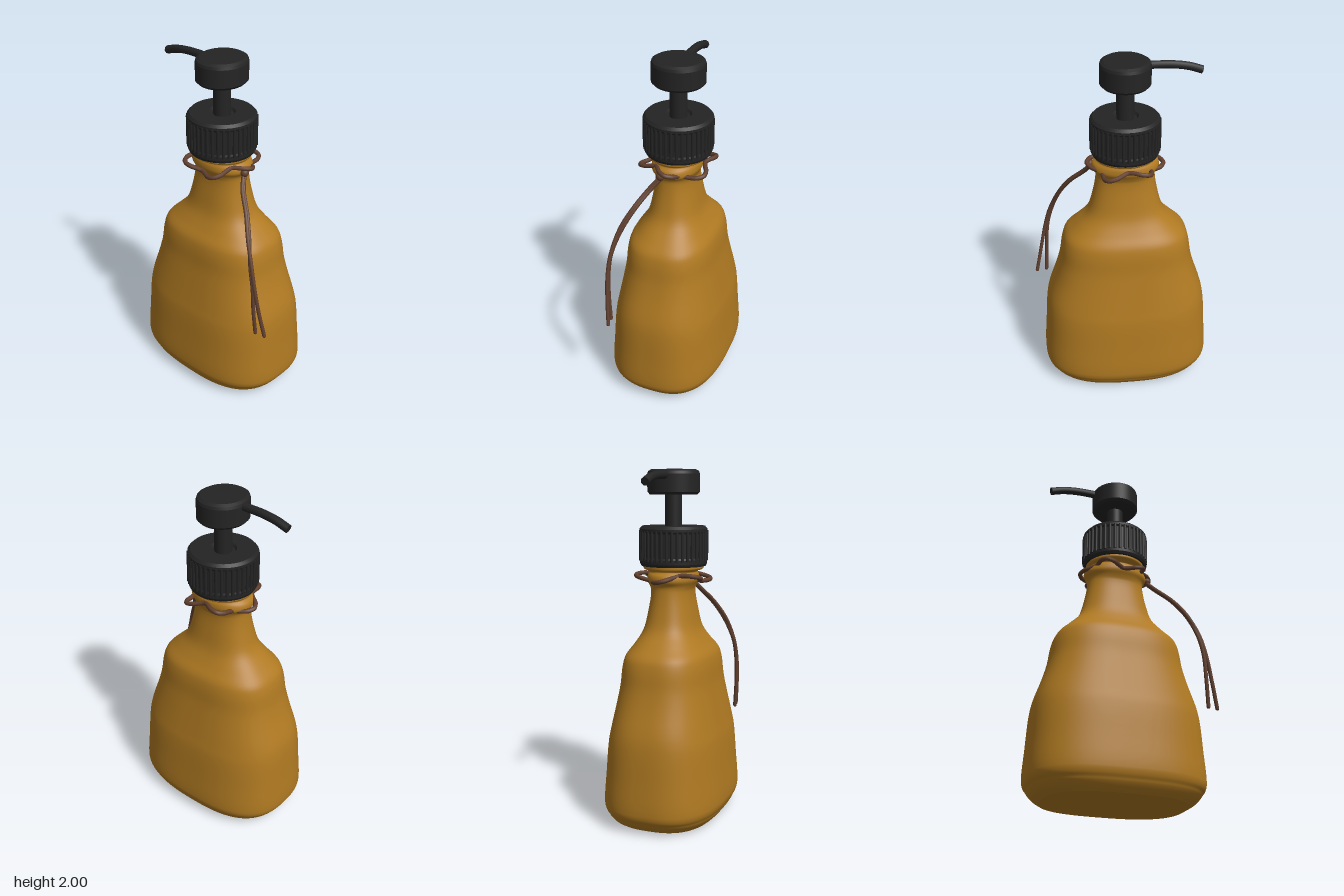
import * as THREE from 'three';
import { mergeVertices, mergeGeometries } from 'three/addons/utils/BufferGeometryUtils.js';

const V = (x, y, z) => new THREE.Vector3(x, y, z);
const CX = -0.02; // axis of the bottle

// Bottle sections: [height, half width, half depth, corner squareness]
const SECTIONS = [
  [0, 0.405, 0.28, 2.7], [0.025, 0.445, 0.305, 2.7], [0.05, 0.468, 0.322, 2.7], [0.065, 0.478, 0.328, 2.7],
  [0.085, 0.492, 0.338, 2.7], [0.12, 0.5, 0.345, 2.7], [0.3, 0.49, 0.333, 2.7], [0.48, 0.477, 0.318, 2.7],
  [0.56, 0.462, 0.303, 2.7], [0.7, 0.415, 0.277, 2.7], [0.8, 0.388, 0.26, 2.7], [0.9, 0.372, 0.25, 2.7],
  [0.96, 0.352, 0.235, 2.7], [1.02, 0.295, 0.195, 2.6], [1.1, 0.222, 0.152, 2.5], [1.2, 0.189, 0.13, 2.4],
  [1.32, 0.168, 0.115, 2.3], [1.35, 0.17, 0.125, 2.2], [1.38, 0.19, 0.14, 2.1], [1.41, 0.186, 0.14, 2],
  [1.43, 0.165, 0.135, 2], [1.445, 0.175, 0.17, 2], [1.47, 0.175, 0.17, 2],
];

// Puts a unit-circle direction onto a rounded-rectangle section
function onSection(sx, sz, w, d, n) {
  const k = Math.pow(Math.pow(Math.abs(sx), n) + Math.pow(Math.abs(sz), n), -1 / n);
  return [sx * k * w, sz * k * d];
}

function bottleGeometry() {
  const sizes = new THREE.CatmullRomCurve3(SECTIONS.map(([y, w, d]) => V(w, y, d)), false, 'centripetal');
  const rows = (SECTIONS.length - 1) * 4;
  const unit = Array.from({ length: rows + 1 }, (_, i) => new THREE.Vector2(1, i));
  const g = new THREE.LatheGeometry(unit, 96);
  const p = g.attributes.position;
  for (let i = 0; i < p.count; i++) {
    const t = p.getY(i) / rows;
    const s = sizes.getPoint(t);
    const f = t * (SECTIONS.length - 1);
    const a = Math.min(Math.floor(f), SECTIONS.length - 2);
    const n = THREE.MathUtils.lerp(SECTIONS[a][3], SECTIONS[a + 1][3], f - a);
    const [x, z] = onSection(p.getX(i), p.getZ(i), s.x, s.z, n);
    p.setXYZ(i, x, s.y, z);
  }
  g.deleteAttribute('uv');
  g.deleteAttribute('normal');
  const welded = mergeVertices(g, 1e-5);
  welded.computeVertexNormals();
  return welded;
}

function baseGeometry() {
  const g = new THREE.CircleGeometry(1, 96).rotateX(Math.PI / 2);
  const p = g.attributes.position;
  const [, w, d, n] = SECTIONS[0];
  for (let i = 1; i < p.count; i++) {
    const [x, z] = onSection(p.getX(i), p.getZ(i), w, d, n);
    p.setXYZ(i, x, 0, z);
  }
  return g;
}

// Lathe with crisp edges: each profile segment keeps its own normals
function crispLathe(profile, segments = 64) {
  const parts = [];
  for (let i = 0; i < profile.length - 1; i++) {
    const pair = [profile[i], profile[i + 1]].map(([r, y]) => new THREE.Vector2(r, y));
    parts.push(new THREE.LatheGeometry(pair, segments));
  }
  return mergeGeometries(parts);
}

function cord(points, radius, closed = false) {
  const curve = new THREE.CatmullRomCurve3(points, closed);
  return new THREE.TubeGeometry(curve, closed ? 180 : 48, radius, 8, closed);
}

export function createModel() {
  const model = new THREE.Group();
  const amber = new THREE.MeshStandardMaterial({ color: 0xb07a22 });
  const black = new THREE.MeshStandardMaterial({ color: 0x242424 });
  const brown = new THREE.MeshStandardMaterial({ color: 0x61402f });
  amber.name = 'amber glass';
  black.name = 'black plastic';
  brown.name = 'brown cord';

  const add = (name, geometry, material, x = 0, y = 0, z = 0) => {
    const mesh = new THREE.Mesh(geometry, material);
    mesh.name = name;
    mesh.position.set(x, y, z);
    model.add(mesh);
    return mesh;
  };

  // Bottle
  add('bottle', bottleGeometry(), amber, CX);
  add('bottleBase', baseGeometry(), amber, CX);

  // Screw cap with grip ribs
  add('cap', crispLathe([
    [0, 1.46], [0.185, 1.46], [0.192, 1.475], [0.192, 1.5], [0.188, 1.51], [0.188, 1.645],
    [0.194, 1.655], [0.194, 1.67], [0.18, 1.685], [0.075, 1.685], [0.065, 1.67], [0, 1.67],
  ]), black, CX);
  const ribs = [];
  const RIBS = 40;
  for (let i = 0; i < RIBS; i++) {
    const rib = new THREE.CylinderGeometry(0.009, 0.009, 0.17, 8);
    const a = (i / RIBS) * Math.PI * 2;
    ribs.push(rib.translate(Math.cos(a) * 0.19, 1.575, Math.sin(a) * 0.19));
  }
  add('capRibs', mergeGeometries(ribs), black, CX);

  // Pump
  add('pumpStem', new THREE.CylinderGeometry(0.049, 0.049, 0.22, 32), black, CX, 1.77);
  const head = add('pumpHead', crispLathe([
    [0, 1.86], [0.135, 1.86], [0.15, 1.875], [0.15, 1.975], [0.145, 1.99], [0.127, 2], [0, 2],
  ]), black, CX);
  head.scale.x = 0.93;
  const spout = [V(-0.12, 1.967, 0), V(-0.2, 1.968, 0), V(-0.28, 1.965, 0), V(-0.36, 1.953, 0), V(-0.434, 1.93, 0)];
  add('spout', cord(spout, 0.023), black);
  const tip = add('spoutTip', new THREE.CircleGeometry(0.023, 16), black, -0.434, 1.93);
  tip.lookAt(-0.434 - 0.95, 1.93 - 0.31, 0);

  // Cord woven round the neck
  const loop = [];
  for (let i = 0; i < 36; i++) {
    const a = (i / 36) * Math.PI * 2;
    const r = 0.188 + 0.028 * Math.cos(6 * a);
    loop.push(V(CX + Math.cos(a) * r, 1.395 + 0.02 * Math.sin(3 * a + 0.6), Math.sin(a) * r));
  }
  add('neckCord', cord(loop, 0.013, true), brown);
  add('cordKnot', new THREE.SphereGeometry(0.024, 16, 12), brown, 0.175, 1.385, 0.03);

  // Two loose ends
  const shared = [V(0.165, 1.385, 0.02), V(0.21, 1.31, 0.08), V(0.29, 1.22, 0.14), V(0.355, 1.11, 0.195)];
  const ends = [
    [V(0.405, 0.97, 0.235), V(0.432, 0.85, 0.245), V(0.442, 0.7, 0.245), V(0.452, 0.54, 0.235)],
    [V(0.415, 0.97, 0.235), V(0.447, 0.85, 0.245), V(0.477, 0.7, 0.24), V(0.51, 0.54, 0.225)],
  ];
  ends.forEach((end, i) => {
    const start = shared.map((p) => p.clone().add(V(0, 0, (i - 0.5) * 0.012)));
    add(i ? 'outerCordEnd' : 'innerCordEnd', cord([...start, ...end], 0.011), brown);
    const last = end[3];
    add('cordTip', new THREE.SphereGeometry(0.011, 8, 6), brown, last.x, last.y, last.z);
  });

  return model;
}
